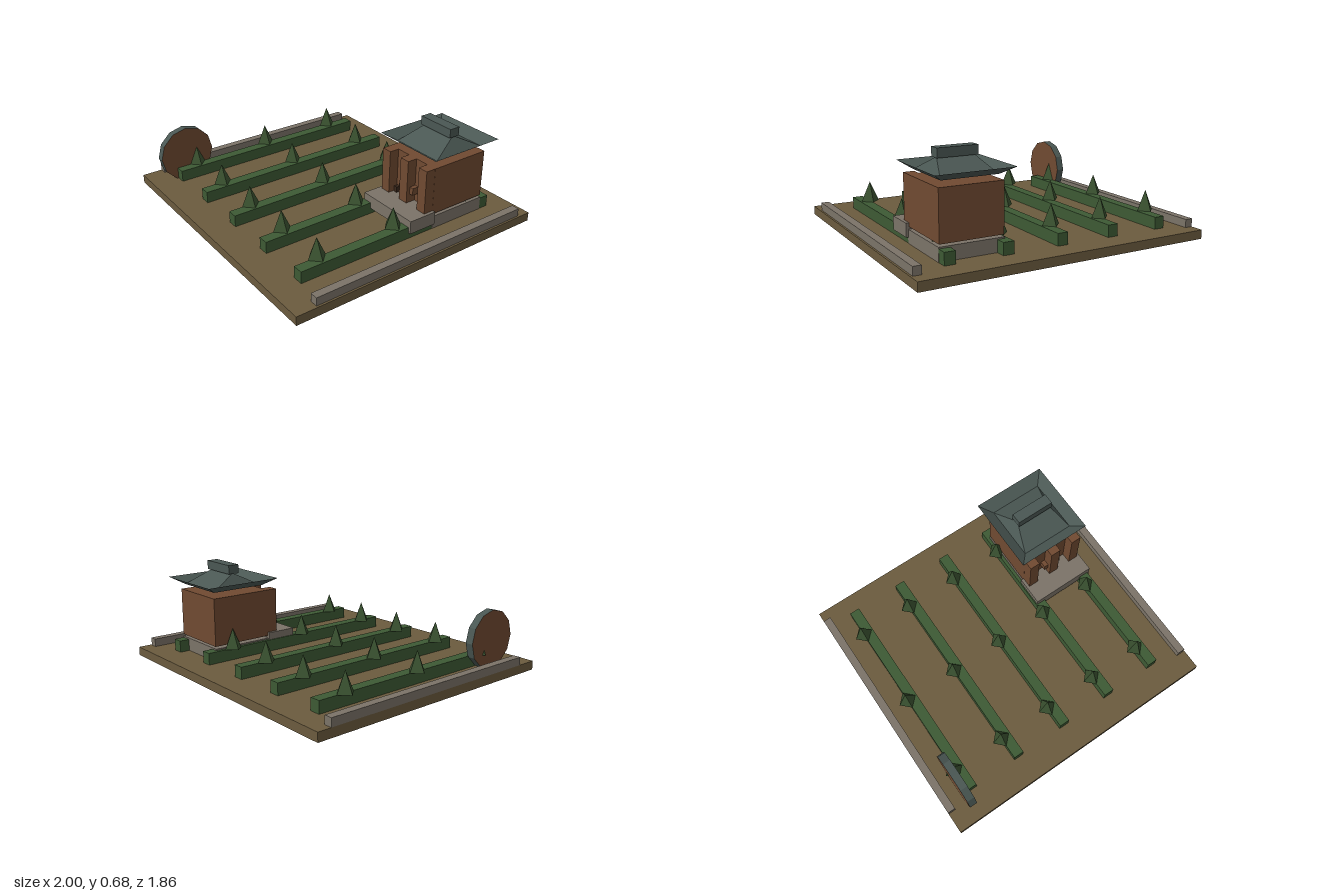
import * as THREE from 'three';

const mat = (name, color) => {
  const m = new THREE.MeshStandardMaterial({ color, side: THREE.DoubleSide, flatShading: true });
  m.name = name;
  return m;
};

export function createModel() {
  const earth = mat('earth', 0x6b5b3e);
  const stone = mat('stone', 0x7b7368);
  const hedge = mat('hedge green', 0x3d5a34);
  const leaf = mat('leaf green', 0x3a5230);
  const wood = mat('wood', 0x704a31);
  const tile = mat('roof tile', 0x4a5753);
  const dark = mat('dark wood', 0x3a281c);

  const model = new THREE.Group();
  model.name = 'farmGarden';

  const add = (parent, name, geometry, material) => {
    const mesh = new THREE.Mesh(geometry, material);
    mesh.name = name;
    parent.add(mesh);
    return mesh;
  };
  const group = (name) => {
    const g = new THREE.Group();
    g.name = name;
    model.add(g);
    return g;
  };
  // Box given by its limits; an open box has no bottom face
  const box = (parent, name, [x0, x1], [y0, y1], [z0, z1], material, open = false) => {
    const g = new THREE.BoxGeometry(x1 - x0, y1 - y0, z1 - z0);
    if (open) {
      const index = Array.from(g.index.array);
      index.splice(18, 6);
      g.setIndex(index);
      g.clearGroups();
    }
    g.translate((x0 + x1) / 2, (y0 + y1) / 2, (z0 + z1) / 2);
    return add(parent, name, g, material);
  };

  // Ground slab, hollow underneath
  box(model, 'ground', [-1, 1], [0, 0.06], [-0.93, 0.93], earth, true);

  // Planted rows, each with three small trees
  const rows = group('plantedRows');
  for (let i = 0; i < 5; i++) {
    const x = -0.78 + i * 0.378;
    box(rows, 'row', [x - 0.036, x + 0.036], [0.06, 0.14], [-0.77, 0.74], hedge);
    for (const z of [-0.58, 0, 0.58]) {
      const tree = add(rows, 'tree', new THREE.ConeGeometry(0.063, 0.137, 4), leaf);
      tree.position.set(x - 0.036, 0.2085, z);
    }
  }

  // Low stone walls, laid in five lengths along each side
  const walls = group('stoneWalls');
  for (const x of [-1, 0.933]) {
    for (let i = 0; i < 5; i++) {
      const z = -0.838 + i * 0.325;
      box(walls, 'wallLength', [x, x + 0.054], [0.06, 0.115], [z, z + 0.325], stone);
    }
  }

  // Round wheel, wooden faces with a dark rim
  const wheel = add(model, 'wheel', new THREE.CylinderGeometry(0.198, 0.198, 0.054, 12), [tile, wood, wood]);
  wheel.rotation.z = Math.PI / 2;
  wheel.position.set(-0.837, 0.232, 0.655);

  // Stone base and porch
  const house = group('house');
  box(house, 'foundation', [0.34, 0.77], [0.035, 0.15], [-0.7, -0.27], stone, true);
  box(house, 'porch', [0.325, 0.785], [0.1, 0.19], [-0.275, -0.07], stone);

  // Walls, front pillars and door fittings
  box(house, 'body', [0.345, 0.765], [0.165, 0.49], [-0.7, -0.27], wood);
  for (const x of [0.382, 0.557, 0.728]) {
    box(house, 'pillar', [x - 0.036, x + 0.036], [0.165, 0.49], [-0.275, -0.2], wood);
  }
  for (const x of [0.507, 0.605]) {
    box(house, 'doorHandle', [x - 0.017, x + 0.017], [0.25, 0.3], [-0.27, -0.225], wood);
  }
  box(house, 'doorStop', [0.425, 0.45], [0.19, 0.23], [-0.27, -0.24], dark);

  // Roof sheet: upturned eave, valley, then a hip up to the ridge
  const ring = (x0, x1, y, z0, z1) => [[x0, y, z1], [x1, y, z1], [x1, y, z0], [x0, y, z0]];
  const rings = [
    ring(0.295, 0.815, 0.575, -0.765, -0.22),
    ring(0.37, 0.742, 0.525, -0.682, -0.302),
    ring(0.435, 0.677, 0.622, -0.494, -0.49),
  ];
  const points = [];
  for (let r = 0; r < 2; r++) {
    for (let i = 0; i < 4; i++) {
      const j = (i + 1) % 4;
      const [a, b, c, d] = [rings[r][i], rings[r][j], rings[r + 1][j], rings[r + 1][i]];
      points.push(...a, ...b, ...c, ...a, ...c, ...d);
    }
  }
  const roof = new THREE.BufferGeometry();
  roof.setAttribute('position', new THREE.Float32BufferAttribute(points, 3));
  roof.computeVertexNormals();
  add(house, 'roof', roof, tile);
  box(house, 'ridgeBeam', [0.422, 0.69], [0.62, 0.68], [-0.529, -0.453], tile);

  return model;
}
